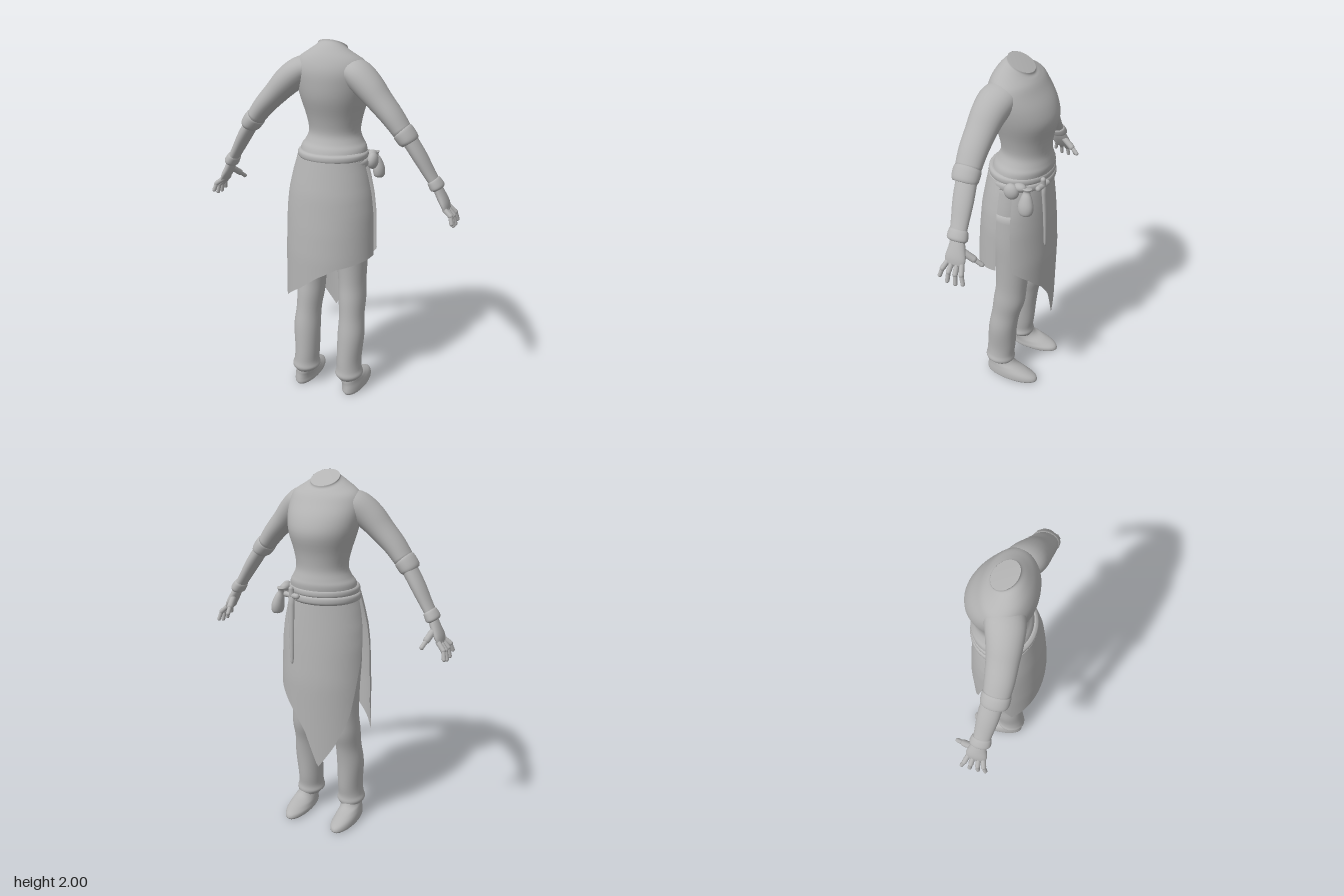
import * as THREE from 'three';

const cloth = new THREE.MeshStandardMaterial({ color: 0xb4b4b4, side: THREE.DoubleSide });
cloth.name = 'plain grey';

// Smooth skin through oval sections [x, y, z, halfWidth, halfDepth, tilt]
function loft(sections, { sides = 28, steps = 4, caps = true } = {}) {
  const centre = new THREE.CatmullRomCurve3(sections.map(s => new THREE.Vector3(s[0], s[1], s[2])), false, 'catmullrom', 0.5);
  const size = new THREE.CatmullRomCurve3(sections.map(s => new THREE.Vector3(s[3], s[4], s[5] || 0)), false, 'catmullrom', 0.5);
  const n = (sections.length - 1) * steps, pos = [], idx = [];
  for (let i = 0; i <= n; i++) {
    const c = centre.getPoint(i / n), r = size.getPoint(i / n), t = centre.getTangent(i / n);
    const len = Math.hypot(t.x, t.y) || 1, ux = t.y / len, uy = -t.x / len;
    for (let j = 0; j < sides; j++) {
      const a = j / sides * Math.PI * 2, u = Math.cos(a) * r.x, w = Math.sin(a) * r.y;
      pos.push(c.x + ux * u, c.y + uy * u + r.z * w, c.z + w);
      if (i < n) {
        const p = i * sides + j, q = i * sides + (j + 1) % sides;
        idx.push(p, p + sides, q, q, p + sides, q + sides);
      }
    }
  }
  if (caps) {
    const e = pos.length / 3, last = n * sides;
    for (const s of [sections[0], sections[sections.length - 1]]) pos.push(s[0], s[1], s[2]);
    for (let j = 0; j < sides; j++) {
      const k = (j + 1) % sides;
      idx.push(e, j, k, e + 1, last + k, last + j);
    }
  }
  return finish(pos, idx);
}

function finish(pos, idx) {
  const g = new THREE.BufferGeometry();
  g.setAttribute('position', new THREE.Float32BufferAttribute(pos, 3));
  g.setIndex(idx);
  g.computeVertexNormals();
  return g;
}

// Linear lookup in a list of [key, value] with rising keys
function lookup(table, v) {
  if (v <= table[0][0]) return table[0][1];
  for (let i = 1; i < table.length; i++) {
    const [k0, v0] = table[i - 1], [k1, v1] = table[i];
    if (v <= k1) return THREE.MathUtils.mapLinear(v, k0, k1, v0, v1);
  }
  return table[table.length - 1][1];
}

const skirtX = [[0.4, 0.262], [0.85, 0.258], [1.1, 0.25], [1.2, 0.238], [1.3, 0.215], [1.39, 0.188]];
const skirtBack = [[0.4, 0.215], [0.85, 0.214], [1.0, 0.205], [1.2, 0.185], [1.39, 0.15]];
const skirtFront = [[0.4, 0.19], [0.9, 0.205], [1.1, 0.195], [1.39, 0.175]];

// Open skirt panel: angle 0 is +x, 90 degrees is +z; hem is [angle, height]
function skirtPanel(hem) {
  const cols = 56, rows = 18, pos = [], idx = [];
  const a0 = hem[0][0], a1 = hem[hem.length - 1][0];
  for (let j = 0; j <= cols; j++) {
    const a = a0 + (a1 - a0) * j / cols, bottom = lookup(hem, a);
    for (let i = 0; i <= rows; i++) {
      const y = 1.385 + (bottom - 1.385) * i / rows, s = Math.sin(a);
      pos.push(Math.cos(a) * lookup(skirtX, y), y, s * lookup(s > 0 ? skirtBack : skirtFront, y));
      if (i < rows && j < cols) {
        const p = j * (rows + 1) + i, q = p + rows + 1;
        idx.push(p, q, p + 1, q, q + 1, p + 1);
      }
    }
  }
  return finish(pos, idx);
}

export function createModel() {
  const model = new THREE.Group();
  const add = (name, geometry, parent = model) => {
    const m = new THREE.Mesh(geometry, cloth);
    m.name = name;
    parent.add(m);
    return m;
  };
  const capsule = (name, from, to, r, parent) => {
    const a = new THREE.Vector3(...from), b = new THREE.Vector3(...to), d = b.clone().sub(a);
    const m = add(name, new THREE.CapsuleGeometry(r, d.length(), 4, 10), parent);
    m.position.copy(a).add(b).multiplyScalar(0.5);
    m.quaternion.setFromUnitVectors(new THREE.Vector3(0, 1, 0), d.normalize());
  };
  const blob = (name, p, s, parent) => {
    const m = add(name, new THREE.SphereGeometry(1, 20, 14), parent);
    m.position.set(...p);
    m.scale.set(...s);
  };

  // Shirt with flared hem and a tilted open collar
  add('shirt', loft([
    [0, 1.40, -0.025, 0.185, 0.16], [0, 1.44, -0.035, 0.178, 0.155], [0, 1.47, -0.042, 0.158, 0.142],
    [0, 1.52, -0.045, 0.14, 0.13], [0, 1.60, -0.042, 0.153, 0.142], [0, 1.70, -0.038, 0.183, 0.17],
    [0, 1.78, -0.022, 0.198, 0.165], [0, 1.85, 0.0, 0.2, 0.142], [0, 1.90, 0.003, 0.178, 0.118, 0.1],
    [0, 1.935, -0.005, 0.12, 0.092, 0.3], [0, 1.955, -0.012, 0.083, 0.07, 0.5], [0, 1.967, -0.014, 0.078, 0.066, 0.53],
  ], { sides: 40, caps: false }));
  add('neckInside', loft([
    [0, 1.967, -0.014, 0.078, 0.066, 0.53], [0, 1.955, -0.014, 0.072, 0.06, 0.53], [0, 1.945, -0.014, 0.07, 0.058, 0.53],
  ]));

  // Rolled waist sash
  const roll = (name, y, h, rx, rz) => add(name, loft([
    [0, y - h, -0.02, rx - 0.015, rz - 0.015], [0, y - h * 0.5, -0.02, rx, rz],
    [0, y + h * 0.5, -0.02, rx, rz], [0, y + h, -0.02, rx - 0.015, rz - 0.015],
  ], { sides: 40 }));
  roll('lowerSash', 1.362, 0.026, 0.2, 0.172);
  roll('upperSash', 1.398, 0.024, 0.192, 0.17);

  // Slanted back panel and pointed front panel
  add('backSkirtPanel', skirtPanel([
    [0.08, 0.86], [0.7, 0.835], [1.15, 0.81], [1.57, 0.75], [1.97, 0.67], [2.4, 0.6], [2.7, 0.55], [3.02, 0.76],
  ]));
  add('frontSkirtPanel', skirtPanel([
    [-3.1, 1.36], [-2.85, 1.05], [-2.5, 0.72], [-2.1, 0.53], [-1.75, 0.4],
    [-1.45, 0.61], [-1.2, 0.7], [-0.8, 0.79], [-0.32, 0.87],
  ]));
  add('hips', loft([
    [0, 0.93, -0.01, 0.09, 0.07], [0, 1.02, -0.005, 0.18, 0.13], [0, 1.15, 0, 0.2, 0.145], [0, 1.36, -0.01, 0.175, 0.145],
  ]));

  for (const s of [1, -1]) {
    const side = s > 0 ? 'left' : 'right';
    const limb = (name, sections, parent, o) => add(name, loft(sections.map(([x, ...r]) => [x * s, ...r]), o), parent);

    const leg = new THREE.Group();
    leg.name = side + 'Leg';
    model.add(leg);
    limb('trouserLeg', [
      [0.135, 0.09, 0.055, 0.062, 0.078], [0.135, 0.115, 0.058, 0.08, 0.088], [0.134, 0.15, 0.057, 0.071, 0.083],
      [0.132, 0.22, 0.05, 0.07, 0.085], [0.137, 0.36, 0.038, 0.076, 0.084], [0.133, 0.47, 0.02, 0.071, 0.083],
      [0.128, 0.57, 0.0, 0.077, 0.092], [0.122, 0.68, -0.012, 0.078, 0.09], [0.115, 0.85, -0.018, 0.09, 0.1],
      [0.108, 1.0, -0.01, 0.1, 0.115], [0.1, 1.18, 0, 0.1, 0.12],
    ], leg);
    limb('shoe', [
      [0.15, 0, -0.028, 0.058, 0.155], [0.15, 0.012, -0.028, 0.066, 0.163], [0.15, 0.035, -0.022, 0.065, 0.155],
      [0.147, 0.06, 0.008, 0.06, 0.122], [0.143, 0.085, 0.042, 0.056, 0.088], [0.138, 0.13, 0.055, 0.052, 0.07],
    ], leg);

    const arm = new THREE.Group();
    arm.name = side + 'Arm';
    model.add(arm);
    limb('sleeve', [
      [0.1, 1.855, 0.02, 0.06, 0.09], [0.16, 1.832, 0.033, 0.075, 0.1], [0.228, 1.778, 0.05, 0.074, 0.09],
      [0.29, 1.715, 0.06, 0.064, 0.08], [0.36, 1.642, 0.067, 0.056, 0.074], [0.418, 1.568, 0.068, 0.048, 0.067],
    ], arm);
    limb('sleeveCuff', [
      [0.409, 1.58, 0.068, 0.046, 0.064], [0.418, 1.57, 0.068, 0.053, 0.072], [0.446, 1.535, 0.067, 0.051, 0.071],
      [0.456, 1.52, 0.066, 0.042, 0.062],
    ], arm);
    limb('forearm', [
      [0.43, 1.56, 0.06, 0.038, 0.055], [0.5, 1.455, 0.05, 0.036, 0.055], [0.555, 1.365, 0.042, 0.03, 0.047],
      [0.6, 1.295, 0.035, 0.026, 0.042],
    ], arm);
    limb('wristBand', [
      [0.574, 1.335, 0.037, 0.027, 0.044], [0.58, 1.326, 0.037, 0.034, 0.051], [0.598, 1.297, 0.035, 0.037, 0.055],
      [0.604, 1.286, 0.034, 0.027, 0.045],
    ], arm);
    limb('palm', [
      [0.595, 1.3, 0.034, 0.022, 0.036], [0.617, 1.255, 0.028, 0.024, 0.045], [0.64, 1.212, 0.026, 0.021, 0.055],
      [0.655, 1.178, 0.026, 0.013, 0.05],
    ], arm);
    // Four bent fingers and a thumb
    for (const [z0, z1, drop] of [[-0.014, -0.04, 0.012], [0.012, 0.002, 0], [0.04, 0.046, 0.004], [0.064, 0.086, 0.026]]) {
      const zm = (z0 + z1) / 2;
      capsule('fingerBase', [0.65 * s, 1.188, z0], [0.683 * s, 1.148 + drop * 0.6, zm], 0.0135, arm);
      capsule('fingerTip', [0.683 * s, 1.148 + drop * 0.6, zm], [0.694 * s, 1.1 + drop, z1], 0.011, arm);
    }
    capsule('thumbBase', [0.615 * s, 1.242, 0], [0.602 * s, 1.205, -0.052], 0.018, arm);
    capsule('thumbTip', [0.602 * s, 1.205, -0.052], [0.591 * s, 1.175, -0.09], 0.012, arm);
  }

  // Belt pouches
  const belt = new THREE.Group();
  belt.name = 'beltGear';
  model.add(belt);
  blob('smallPouch', [0.212, 1.365, -0.06], [0.03, 0.045, 0.042], belt);
  add('hangingPouch', loft([
    [0.222, 1.25, -0.143, 0.008, 0.01], [0.222, 1.262, -0.143, 0.028, 0.035], [0.218, 1.3, -0.143, 0.032, 0.042],
    [0.208, 1.345, -0.142, 0.024, 0.03], [0.2, 1.375, -0.14, 0.014, 0.018], [0.198, 1.395, -0.14, 0.022, 0.026],
  ], { sides: 18 }), belt);
  blob('pouchFlap', [0.195, 1.39, -0.1], [0.025, 0.022, 0.035], belt);

  // Sheathed knife at the front
  add('sheath', loft([
    [0.1, 1.0, -0.203, 0.004, 0.004], [0.1, 1.03, -0.203, 0.01, 0.008], [0.102, 1.2, -0.2, 0.015, 0.011], [0.105, 1.37, -0.19, 0.017, 0.013],
  ], { sides: 12 }), belt);
  capsule('knifeGuard', [0.07, 1.375, -0.193], [0.145, 1.375, -0.178], 0.015, belt);
  capsule('knifeHandle', [0.105, 1.38, -0.188], [0.108, 1.41, -0.188], 0.014, belt);

  return model;
}
